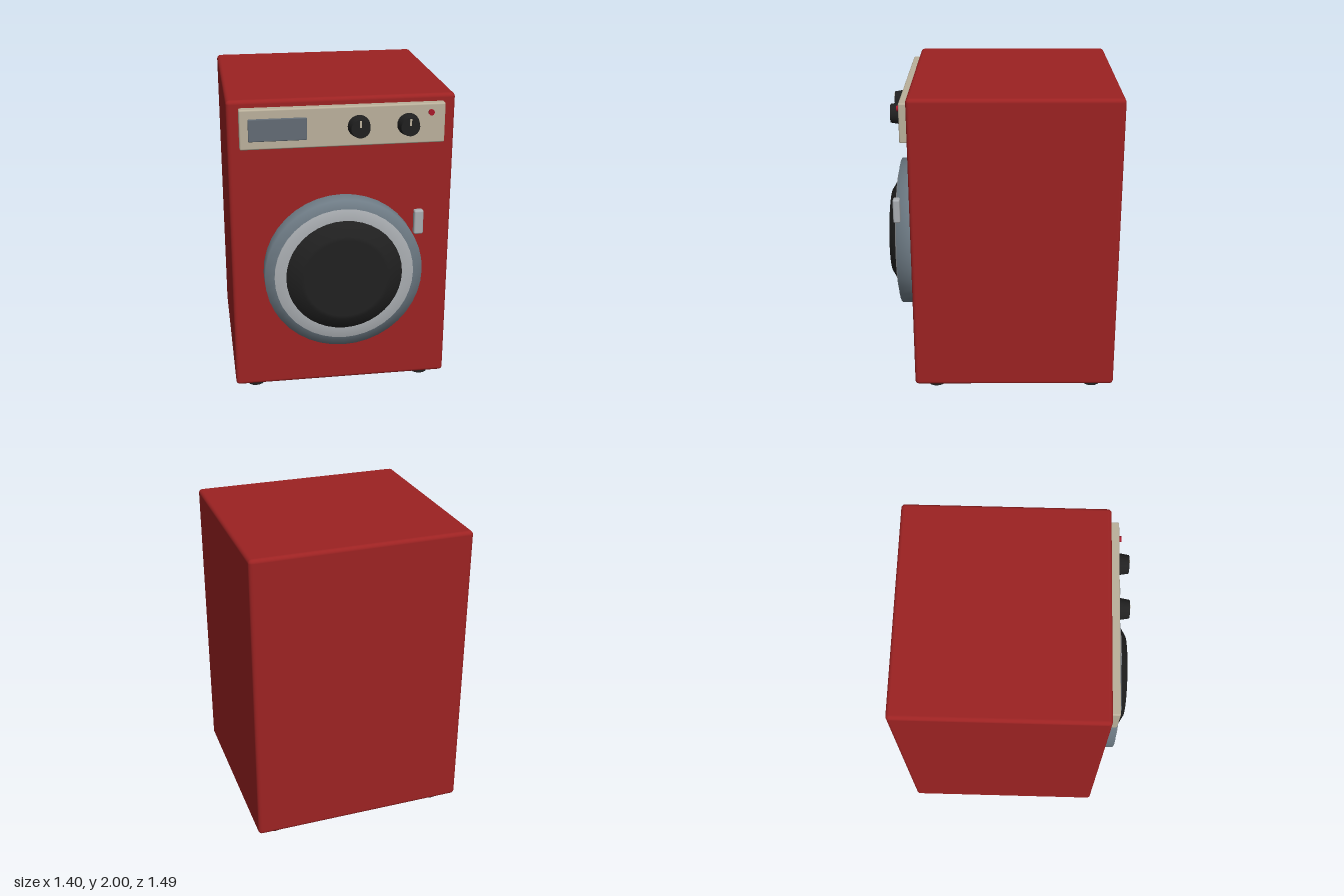
import * as THREE from 'three';
import { RoundedBoxGeometry } from 'three/addons/geometries/RoundedBoxGeometry.js';

const mat = (name, color) => Object.assign(new THREE.MeshStandardMaterial({ color }), { name });

export function createModel() {
  const red = mat('cabinet red', 0x9c2222);
  const cream = mat('panel cream', 0xbab09b);
  const slate = mat('door rim slate', 0x6e7b85);
  const silver = mat('silver', 0xa9adb1);
  const black = mat('black', 0x202020);
  const screenGrey = mat('display grey', 0x626b74);
  const lampRed = mat('lamp red', 0xa8182a);

  const model = new THREE.Group();
  model.name = 'washingMachine';

  const add = (name, geometry, material, x, y, z, parent = model) => {
    const mesh = new THREE.Mesh(geometry, material);
    mesh.name = name;
    mesh.position.set(x, y, z);
    parent.add(mesh);
    return mesh;
  };
  const box = (w, h, d, r) => new RoundedBoxGeometry(w, h, d, 3, r);
  // Round part turned about the z axis; points are [radius, z]
  const turned = (points, segments) =>
    new THREE.LatheGeometry(points.map(([r, z]) => new THREE.Vector2(r, z)), segments).rotateX(Math.PI / 2);

  // Cabinet and feet
  add('cabinet', box(1.405, 1.945, 1.31, 0.025), red, 0, 1.0275, -0.085);
  const footGeometry = new THREE.CylinderGeometry(0.058, 0.058, 0.07, 16);
  for (const x of [-0.565, 0.565])
    for (const z of [0.435, -0.605]) add('foot', footGeometry, black, x, 0.035, z);

  // Control panel
  const panel = new THREE.Group();
  panel.name = 'controlPanel';
  model.add(panel);
  add('panelPlate', box(1.26, 0.25, 0.06, 0.01), cream, 0, 1.83, 0.59, panel);
  add('display', box(0.355, 0.14, 0.02, 0.006), screenGrey, -0.4, 1.828, 0.62, panel);
  const knobGeometry = new THREE.CylinderGeometry(0.058, 0.07, 0.07, 24).rotateX(Math.PI / 2);
  for (const x of [0.095, 0.4]) {
    add('knob', knobGeometry, black, x, 1.83, 0.653, panel);
    add('knobMarker', new THREE.BoxGeometry(0.012, 0.042, 0.006), cream, x, 1.859, 0.689, panel);
  }
  const lampGeometry = new THREE.CylinderGeometry(0.018, 0.018, 0.03, 16).rotateX(Math.PI / 2);
  add('indicatorLamp', lampGeometry, lampRed, 0.54, 1.9, 0.622, panel);

  // Door: rim, inner ring and bulging glass
  const door = new THREE.Group();
  door.name = 'door';
  door.position.set(0, 0.875, 0);
  model.add(door);
  add('doorRim', turned([[0.503, 0.56], [0.503, 0.68], [0.4, 0.68]], 40), slate, 0, 0, 0, door);
  add('doorRing', turned([[0.443, 0.67], [0.443, 0.693], [0.36, 0.693]], 40), silver, 0, 0, 0, door);
  add('doorGlass', turned([[0.37, 0.68], [0.37, 0.697], [0.285, 0.748], [0.26, 0.75], [0, 0.75]], 40),
    black, 0, 0, 0, door);
  add('doorHandle', box(0.06, 0.16, 0.045, 0.012), silver, 0.47, 0.332, 0.67, door);

  return model;
}
